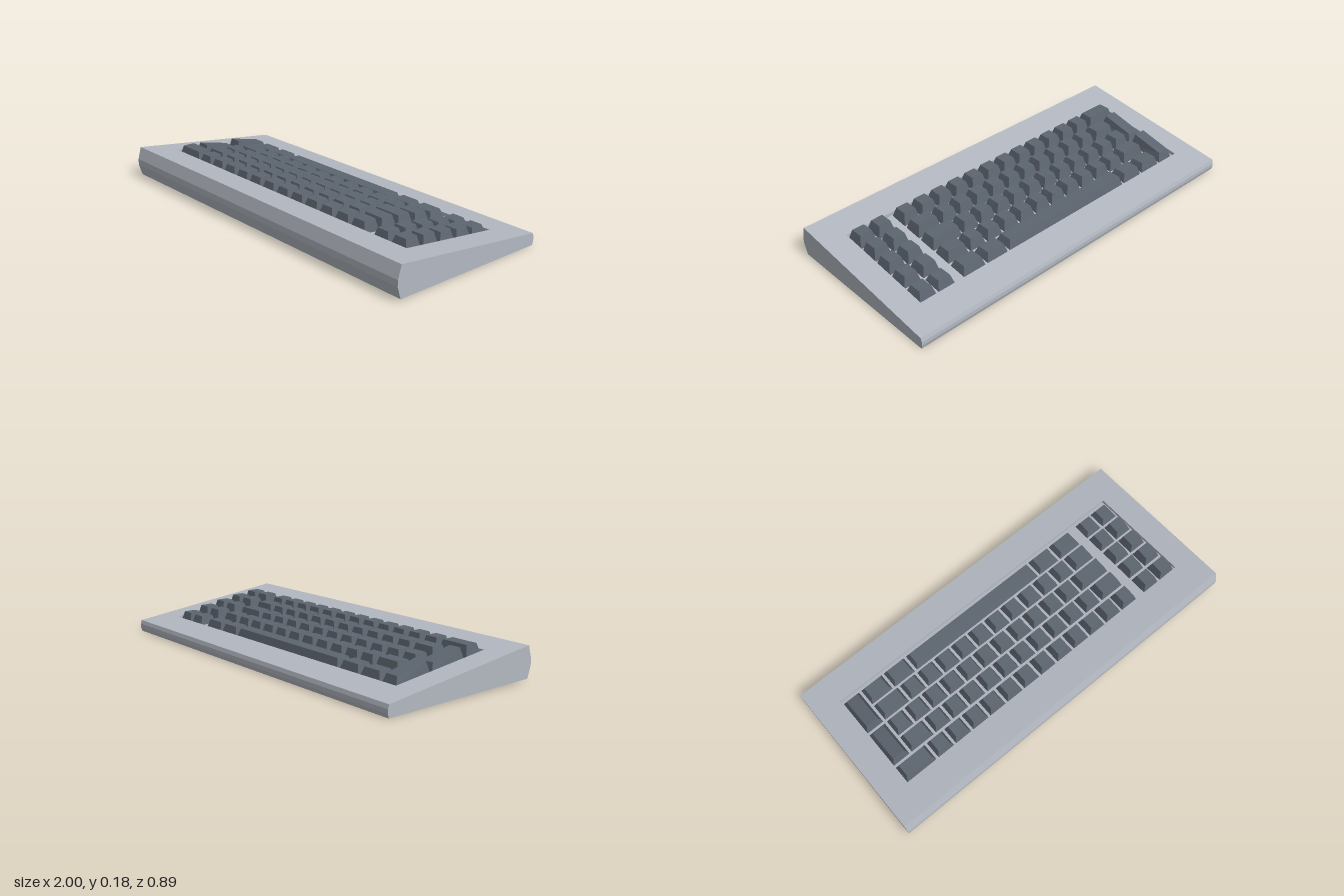
import * as THREE from 'three';

const caseMat = new THREE.MeshStandardMaterial({ color: 0xb3b8c1 });
caseMat.name = 'case grey';
const keyMat = new THREE.MeshStandardMaterial({ color: 0x5d6570 });
keyMat.name = 'key slate';

// Flat-shaded geometry from convex polygons
function fromPolygons(polys) {
  const pos = [];
  for (const p of polys)
    for (let i = 1; i < p.length - 1; i++) pos.push(...p[0], ...p[i], ...p[i + 1]);
  const g = new THREE.BufferGeometry();
  g.setAttribute('position', new THREE.Float32BufferAttribute(pos, 3));
  g.computeVertexNormals();
  return g;
}

// Band of quads joining two matching four-corner loops
const band = (a, b) => a.map((p, i) => [p, a[(i + 1) % 4], b[(i + 1) % 4], b[i]]);

// Four corners, counter-clockwise from above; y comes from a function of z
const corners = (x0, x1, zBack, zFront, y) =>
  [[x0, zFront], [x1, zFront], [x1, zBack], [x0, zBack]].map(([x, z]) => [x, y(z), z]);

// Sloping top of the case and the sunken key plate
const FRONT = 0.427, BACK = -0.438, WELL = 0.02;
const topY = z => 0.06 + (0.167 - 0.06) * (z - BACK) / (FRONT - BACK);
const floorY = z => topY(z) - WELL;

function makeCase() {
  // Side profile as [z, y]: front top, bulging front, underside, rounded back
  const profile = [[FRONT, 0.167], [0.446, 0.102], [0.446, 0.07], [FRONT, 0.01],
    [BACK, 0], [-0.444, 0.02], [-0.444, 0.04], [BACK, 0.06]];
  const at = x => profile.map(([z, y]) => [x, y, z]);
  const left = at(1), right = at(-1);
  const polys = [left, [...right].reverse()];
  for (let i = 0; i < profile.length - 1; i++)
    polys.push([left[i], right[i], right[i + 1], left[i + 1]]);

  // Bezel, well walls and key plate
  const outer = corners(-1, 1, BACK, FRONT, topY);
  const rim = corners(-0.874, 0.872, -0.28, 0.267, topY);
  const floor = corners(-0.874, 0.872, -0.28, 0.267, floorY);
  polys.push(...band(outer, rim), ...band(rim, floor), floor);
  return fromPolygons(polys);
}

// Tapered keycap filling a cell; top is a function of z
function makeKey(x0, x1, zBack, zFront, top) {
  const b = 0.007, t = 0.0215;
  const base = corners(x0 + b, x1 - b, zBack + b, zFront - b, floorY);
  const cap = corners(x0 + t, x1 - t, zBack + t, zFront - t, top);
  return fromPolygons([...band(base, cap), cap]);
}

export function createModel() {
  const model = new THREE.Group();
  model.name = 'keyboard';
  const add = (parent, name, geo, mat) => {
    const m = new THREE.Mesh(geo, mat);
    m.name = name;
    parent.add(m);
  };
  add(model, 'case', makeCase(), caseMat);

  const U = 0.1077, LEFT = -0.866, PAD = 0.656;
  const ones = n => Array(n).fill(1);
  // Rows from front to back: start offset and key widths in units, top height
  const rows = [
    { start: 0, widths: [1.75, ...ones(12)], top: 0.176 },
    { start: 1, widths: [1.375, ...ones(10), 1.375], top: 0.164 },
    { start: 1, widths: [...ones(11), 1.75], top: 0.148 },
    { start: 1, widths: [1.5, ...ones(10), 1.25], top: 0.131 },
    { start: 1, widths: [1.3, 1.3, 7.5, 1.3, 1.35], top: 0.109 },
  ];
  const mainKeys = new THREE.Group();
  mainKeys.name = 'mainKeys';
  const sideKeys = new THREE.Group();
  sideKeys.name = 'sideKeys';
  model.add(mainKeys, sideKeys);

  rows.forEach(({ start, widths, top }, r) => {
    const zc = (2 - r) * U, zb = zc - U / 2, zf = zc + U / 2;
    let x = LEFT + start * U;
    for (const w of widths) {
      const name = w > 5 ? 'spaceBar' : w > 1 ? 'wideKey' : 'key';
      add(mainKeys, name, makeKey(x, x + w * U, zb, zf, () => top), keyMat);
      x += w * U;
    }
    // Two-column block at the side
    for (let c = 0; c < 2; c++)
      add(sideKeys, 'sideKey', makeKey(PAD + c * U, PAD + (c + 1) * U, zb, zf, () => top), keyMat);
  });

  // Two double-depth keys with sloping tops
  for (const [zc, y] of [[U / 2, 0.152], [-1.5 * U, 0.129]])
    add(mainKeys, 'tallKey',
      makeKey(LEFT, LEFT + U, zc - U, zc + U, z => y + 0.23 * (z - zc)), keyMat);

  return model;
}
